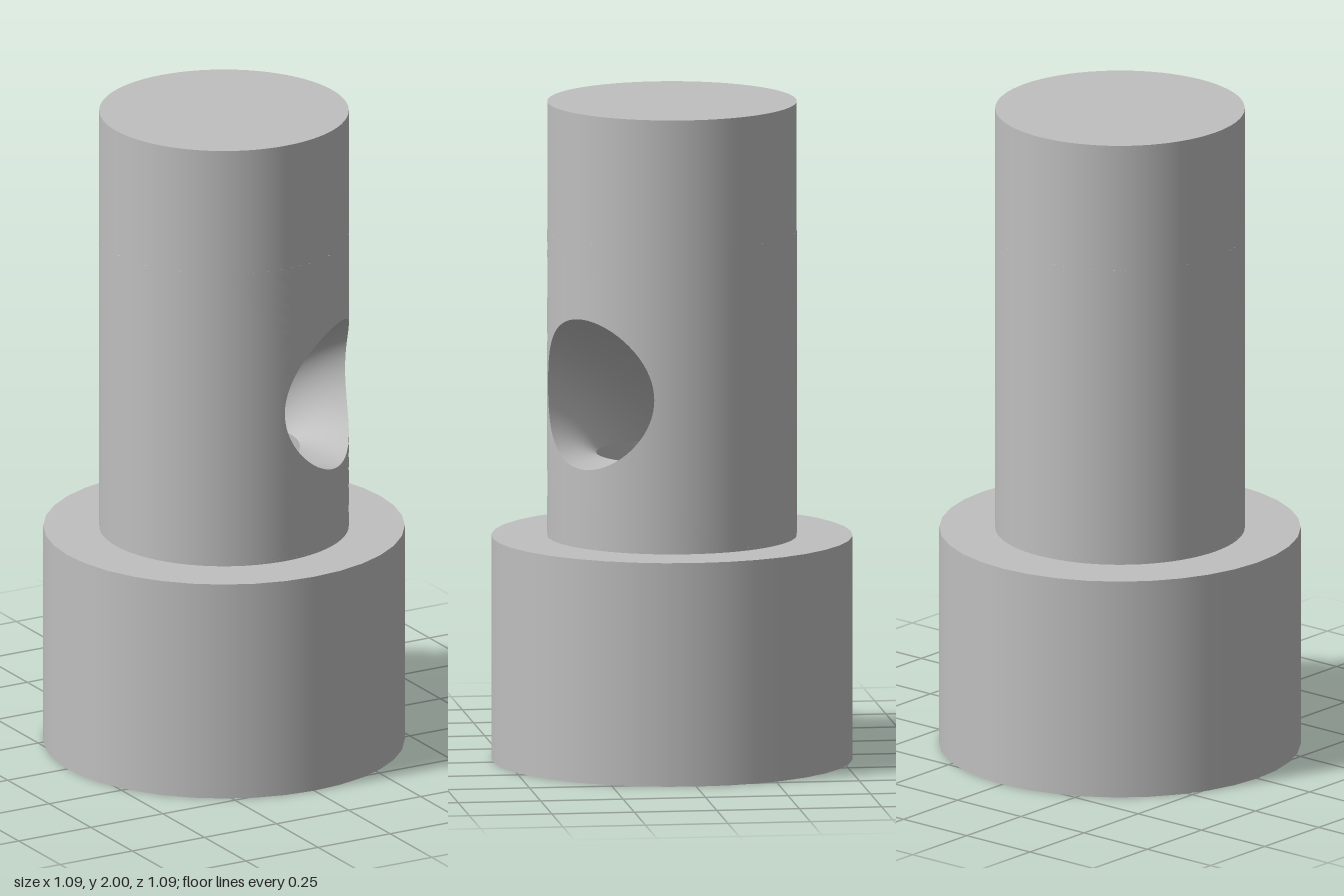
import * as THREE from 'three';

const R = 0.375;         // stem radius
const r = 0.228;         // passage radius
const HOLE_Y = 1.148;    // outlet height
const HOLE_A = 0.64;     // outlet heading, measured from +z towards +x
const HALF_A = 1.2;      // half angle of the wall patch round the outlet
const HALF_Y = 0.46;     // half height of that patch
const BORE_TOP = 0.932;
const BASE_TOP = 0.68;

// Grid of rows x cols, closed round the columns
function ringGrid(rows, cols, point) {
  const pos = [], idx = [];
  for (let i = 0; i <= rows; i++)
    for (let j = 0; j < cols; j++) pos.push(...point(i / rows, (j / cols) * Math.PI * 2));
  for (let i = 0; i < rows; i++)
    for (let j = 0; j < cols; j++) {
      const k = (j + 1) % cols;
      const a = i * cols + j, b = i * cols + k, c = a + cols, d = b + cols;
      idx.push(a, b, c, b, d, c);
    }
  const g = new THREE.BufferGeometry();
  g.setAttribute('position', new THREE.Float32BufferAttribute(pos, 3));
  g.setIndex(idx);
  g.computeVertexNormals();
  return g;
}

export function createModel() {
  const model = new THREE.Group();
  const metal = new THREE.MeshStandardMaterial({ color: 0xbfbfbf });
  metal.name = 'plain grey';

  const add = (name, geometry, parent = model) => {
    const m = new THREE.Mesh(geometry, metal);
    m.name = name;
    parent.add(m);
  };

  // Turned profile with a sharp edge at every point
  const turned = (name, points, segments, start = 0, length = Math.PI * 2) => {
    const group = new THREE.Group();
    group.name = name;
    for (let i = 0; i + 1 < points.length; i++) {
      const pair = [points[i], points[i + 1]].map(p => new THREE.Vector2(...p));
      add(name + 'Face', new THREE.LatheGeometry(pair, segments, start, length), group);
    }
    model.add(group);
  };

  // Wide base with its underside and shoulder
  turned('base', [[0.296, 0], [0.543, 0], [0.543, BASE_TOP], [R, BASE_TOP]], 36);

  // Bore from below, with a ring groove and a step to the narrower passage
  turned('bore', [
    [r, BORE_TOP], [r, 0.6], [0.296, 0.6], [0.296, 0.2],
    [0.33, 0.2], [0.33, 0.12], [0.296, 0.12], [0.296, 0],
  ], 72);

  // Stem: closed top, plain wall, and bands above and below the patch
  const lo = HOLE_Y - HALF_Y, hi = HOLE_Y + HALF_Y;
  turned('stemTop', [[R, hi], [R, 2], [0, 2]], 72);
  turned('stemFoot', [[R, BASE_TOP], [R, lo]], 72);
  turned('stemWall', [[R, lo], [R, hi]], 48, HOLE_A + HALF_A, Math.PI * 2 - 2 * HALF_A);

  // Stem wall round the outlet: blends from the round hole to a square border
  const patch = ringGrid(8, 96, (t, f) => {
    const s = Math.sin(f), c = Math.cos(f);
    const k = 1 / Math.max(Math.abs(s), Math.abs(c));
    const a = HOLE_A + THREE.MathUtils.lerp(Math.asin(r * s / R), HALF_A * s * k, t);
    const y = HOLE_Y + THREE.MathUtils.lerp(r * c, HALF_Y * c * k, t);
    return [R * Math.sin(a), y, R * Math.cos(a)];
  });
  const p = patch.attributes.position;
  for (let i = 0; i < p.count; i++) patch.attributes.normal.setXYZ(i, p.getX(i) / R, 0, p.getZ(i) / R);
  add('outletWall', patch);

  // Passage turning from the bore to the side outlet
  const sa = Math.sin(HOLE_A), ca = Math.cos(HOLE_A);
  add('passage', ringGrid(10, 96, (t, f) => {
    const v = r * Math.sin(f), h = r * Math.cos(f);
    const u0 = -h, y0 = BORE_TOP;
    const u1 = Math.sqrt(R * R - v * v), y1 = HOLE_Y + h;
    const bulge = 0.3 * 2 * t * (1 - t);
    const u = u0 + (u1 - u0) * t + bulge * (u0 - (u0 + u1) / 2);
    const y = y0 + (y1 - y0) * t + bulge * (y1 - (y0 + y1) / 2);
    return [u * sa + v * ca, y, u * ca - v * sa];
  }));

  return model;
}
